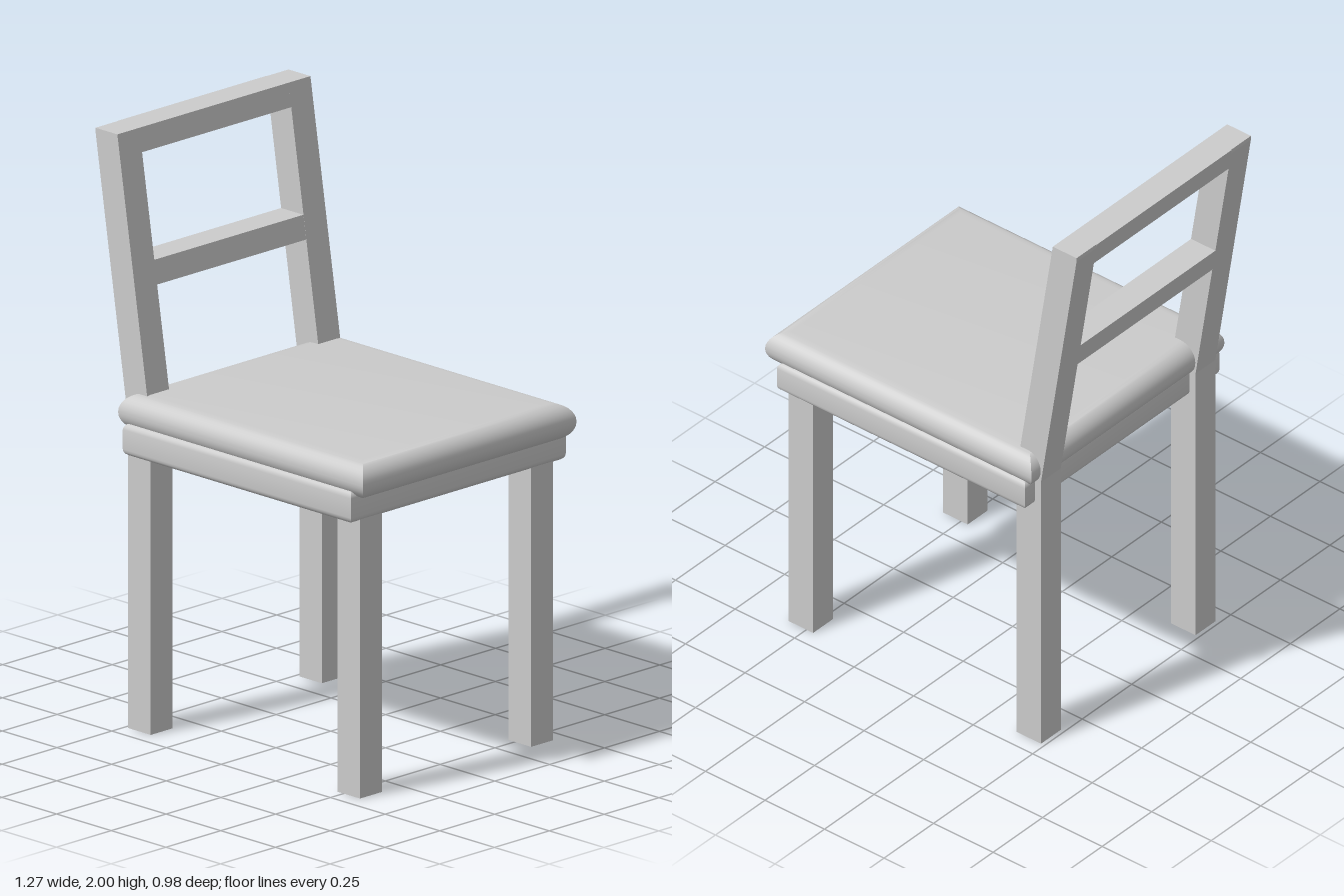
import * as THREE from 'three';
import { toCreasedNormals } from 'three/addons/utils/BufferGeometryUtils.js';

const material = new THREE.MeshStandardMaterial({ color: 0xcccccc });

// Rectangular slab with rounded rims and mitred corners, stacked from inset rectangles
function roundedSlab(x0, x1, y0, y1, halfZ, r, steps) {
  const rings = [];
  for (let i = 0; i <= steps; i++) {
    const a = (i / steps) * Math.PI / 2;
    rings.push([r * (1 - Math.sin(a)), y0 + r * (1 - Math.cos(a))]);
  }
  for (let i = steps; i >= 0; i--) {
    const a = (i / steps) * Math.PI / 2;
    rings.push([r * (1 - Math.sin(a)), y1 - r * (1 - Math.cos(a))]);
  }
  const pos = [], index = [];
  for (const [d, y] of rings) {
    pos.push(x0 + d, y, halfZ - d, x1 - d, y, halfZ - d, x1 - d, y, d - halfZ, x0 + d, y, d - halfZ);
  }
  for (let i = 0; i < rings.length - 1; i++) {
    if (rings[i + 1][1] - rings[i][1] < 1e-6) continue;
    for (let j = 0; j < 4; j++) {
      const a = i * 4 + j, b = i * 4 + (j + 1) % 4;
      index.push(a, b, b + 4, a, b + 4, a + 4);
    }
  }
  const t = (rings.length - 1) * 4;
  index.push(0, 2, 1, 0, 3, 2, t, t + 1, t + 2, t, t + 2, t + 3);
  const g = new THREE.BufferGeometry();
  g.setAttribute('position', new THREE.Float32BufferAttribute(pos, 3));
  g.setIndex(index);
  return toCreasedNormals(g, 0.6);
}

// Side outline in x, y extruded along z
function sidePanel(points, z0, z1) {
  const shape = new THREE.Shape(points.map(([x, y]) => new THREE.Vector2(x, y)));
  const g = new THREE.ExtrudeGeometry(shape, { depth: z1 - z0, bevelEnabled: false });
  return g.translate(0, 0, z0);
}

export function createModel() {
  const group = new THREE.Group();
  const add = (name, geometry) => {
    const mesh = new THREE.Mesh(geometry, material);
    mesh.name = name;
    group.add(mesh);
  };

  // Seat
  add('seatFrame', roundedSlab(-0.46, 0.583, 0.94, 1.05, 0.49, 0.022, 4));
  add('seatCushion', roundedSlab(-0.484, 0.635, 1.02, 1.145, 0.487, 0.0615, 8));

  // Front legs, and back legs that lean back above the seat
  const lean = 0.158;
  const backX = (y) => -0.485 - lean * (y - 1.04);
  const frontX = (y) => backX(y) + 0.102;
  for (const side of [1, -1]) {
    const z0 = side > 0 ? 0.34 : -0.44, z1 = z0 + 0.1;
    const label = side > 0 ? 'Left' : 'Right';
    add('frontLeg' + label, sidePanel([[0.472, 0], [0.575, 0], [0.575, 0.98], [0.472, 0.98]], z0, z1));
    add('backLeg' + label, sidePanel([
      [-0.485, 0], [-0.382, 0], [-0.382, 1.04], [frontX(2), 2],
      [backX(2) + 0.002, 2], [backX(1.985), 1.985], [-0.485, 1.04],
    ], z0, z1));
  }

  // Backrest rails, following the lean of the posts
  for (const [name, y0, y1] of [['topRail', 1.92, 2], ['middleRail', 1.487, 1.568]]) {
    add(name, sidePanel([
      [backX(y0), y0], [frontX(y0), y0], [frontX(y1), y1], [backX(y1), y1],
    ], -0.34, 0.34));
  }
  return group;
}
